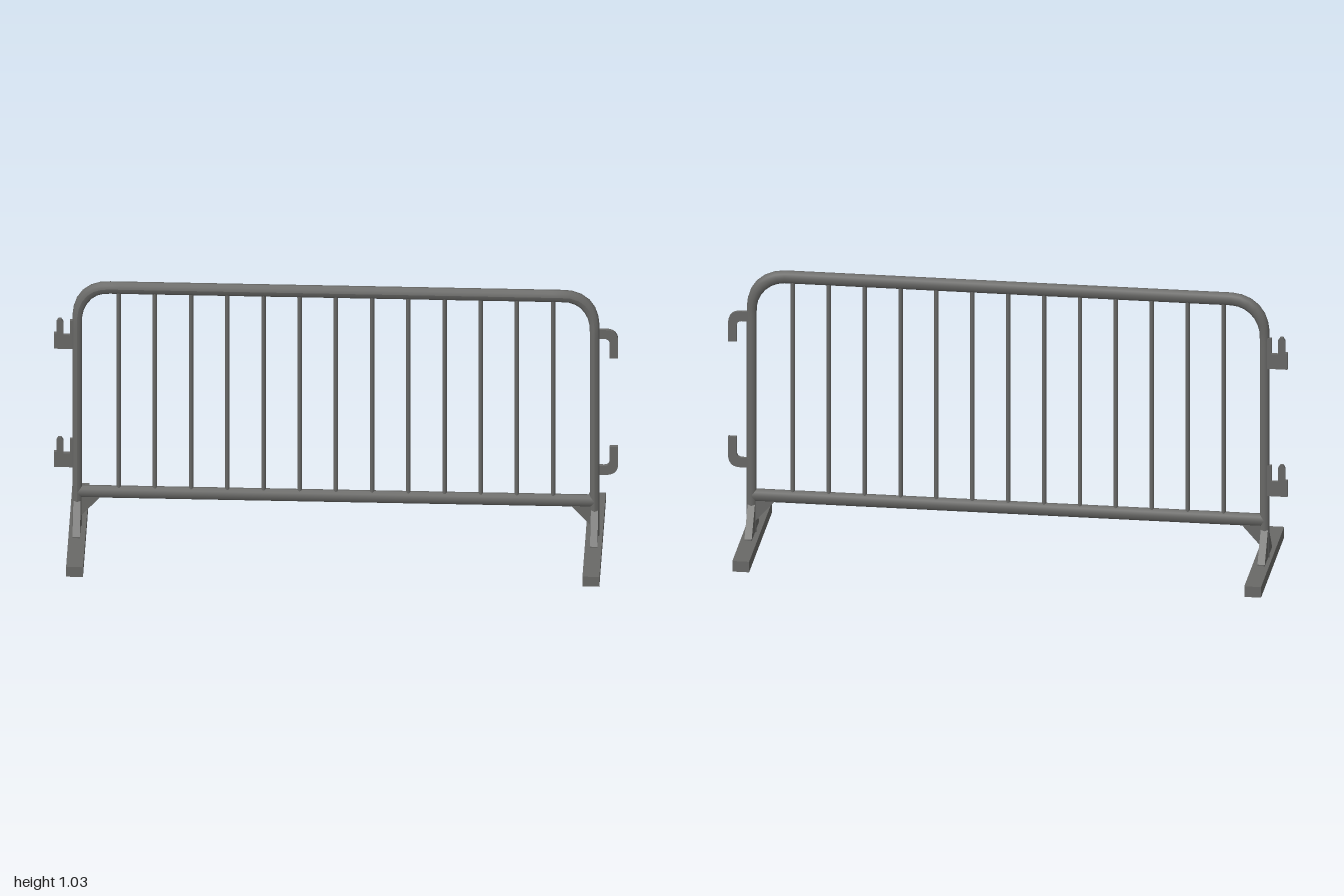
import * as THREE from 'three';

export function createModel() {
  const model = new THREE.Group();
  const steel = new THREE.MeshStandardMaterial({ color: 0x696967 });
  steel.name = 'dark grey steel';

  const add = (name, geometry, x = 0, y = 0, z = 0) => {
    const mesh = new THREE.Mesh(geometry, steel);
    mesh.name = name;
    mesh.position.set(x, y, z);
    model.add(mesh);
    return mesh;
  };
  // Flat plate cut from an outline, centred on its thickness
  const plate = (shape, depth) => {
    const g = new THREE.ExtrudeGeometry(shape, { depth, bevelEnabled: false, curveSegments: 6 });
    return g.translate(0, 0, -depth / 2);
  };
  const polygon = pts => new THREE.Shape(pts.map(p => new THREE.Vector2(...p)));

  // Bent frame: one oval tube for both posts and the top rail, thicker along the top
  const v = (x, y, z = 0) => new THREE.Vector3(x, y, z);
  const path = new THREE.CurvePath();
  path.add(new THREE.LineCurve3(v(-0.917, 0.035), v(-0.917, 0.88)));
  path.add(new THREE.CubicBezierCurve3(v(-0.917, 0.88), v(-0.917, 0.96, -0.008), v(-0.87, 1.012, -0.008), v(-0.8, 1.012)));
  path.add(new THREE.LineCurve3(v(-0.8, 1.012), v(0.8, 1.012)));
  path.add(new THREE.CubicBezierCurve3(v(0.8, 1.012), v(0.87, 1.012, -0.008), v(0.917, 0.96, -0.008), v(0.917, 0.88)));
  path.add(new THREE.LineCurve3(v(0.917, 0.88), v(0.917, 0.035)));
  const rings = 120, sides = 10;
  const tube = new THREE.TubeGeometry(path, rings, 0.024, sides, false);
  const pos = tube.attributes.position;
  const point = new THREE.Vector3();
  for (let i = 0; i <= rings; i++) {
    const centre = path.getPointAt(i / rings);
    const k = 0.75 + 0.25 * THREE.MathUtils.smoothstep(centre.y, 0.88, 1.0);
    for (let j = 0; j <= sides; j++) {
      const n = i * (sides + 1) + j;
      point.fromBufferAttribute(pos, n).sub(centre).multiplyScalar(k);
      point.z = point.z / k * 0.625;
      point.add(centre);
      pos.setXYZ(n, point.x, point.y, point.z);
    }
  }
  tube.computeVertexNormals();
  add('frame', tube);

  // Bottom rail
  const rail = new THREE.CylinderGeometry(0.024, 0.024, 1.83, 10).rotateZ(Math.PI / 2).scale(1, 1, 0.625);
  add('bottomRail', rail, 0, 0.179, 0);

  // Upright bars
  const barGeometry = new THREE.CylinderGeometry(0.008, 0.008, 0.82, 8);
  for (let i = 0; i < 13; i++) add('bar', barGeometry, (i - 6) * 0.1283, 0.595, 0);

  // Feet and their bracing
  const footGusset = plate(polygon([[-0.095, 0.038], [0.095, 0.038], [0.095, 0.045], [0.012, 0.145], [-0.012, 0.145], [-0.095, 0.045]]), 0.026).rotateY(Math.PI / 2);
  for (const s of [-1, 1]) {
    add('foot', new THREE.BoxGeometry(0.06, 0.04, 0.6), s * 0.915, 0.02, 0);
    add('footGusset', footGusset, s * 0.917, 0, 0);
    const corner = [[s * 0.905, 0.08], [s * 0.905, 0.165], [s * 0.83, 0.165]];
    add('railGusset', plate(polygon(corner), 0.014));
  }

  // Right side catches: a plate with a prong and a narrow slot
  const catchShape = polygon([[-1, 0], [-0.92, 0], [-0.92, 0.115], [-0.942, 0.115], [-0.942, 0.056],
    [-0.966, 0.056], [-0.966, 0.108], [-0.974, 0.12], [-0.984, 0.12], [-0.991, 0.108], [-0.991, 0.062], [-1, 0.062]]);
  const catchGeometry = plate(catchShape, 0.013);
  for (const y of [0.275, 0.758]) add('catchPlate', catchGeometry, 0, y, -0.006);

  // Left side hooks: the upper one points down, the lower one up
  const hook = new THREE.Shape();
  hook.moveTo(0.925, 0);
  hook.lineTo(0.955, 0);
  hook.quadraticCurveTo(1, 0, 1, 0.045);
  hook.lineTo(1, 0.115);
  hook.lineTo(0.97, 0.115);
  hook.lineTo(0.97, 0.055);
  hook.quadraticCurveTo(0.968, 0.036, 0.95, 0.036);
  hook.lineTo(0.925, 0.036);
  hook.closePath();
  const hookGeometry = plate(hook, 0.013);
  add('lowerHook', hookGeometry, 0, 0.285, -0.006);
  // Turned over about the x axis
  add('upperHook', hookGeometry.clone().rotateX(Math.PI), 0, 0.876, -0.006);

  return model;
}
